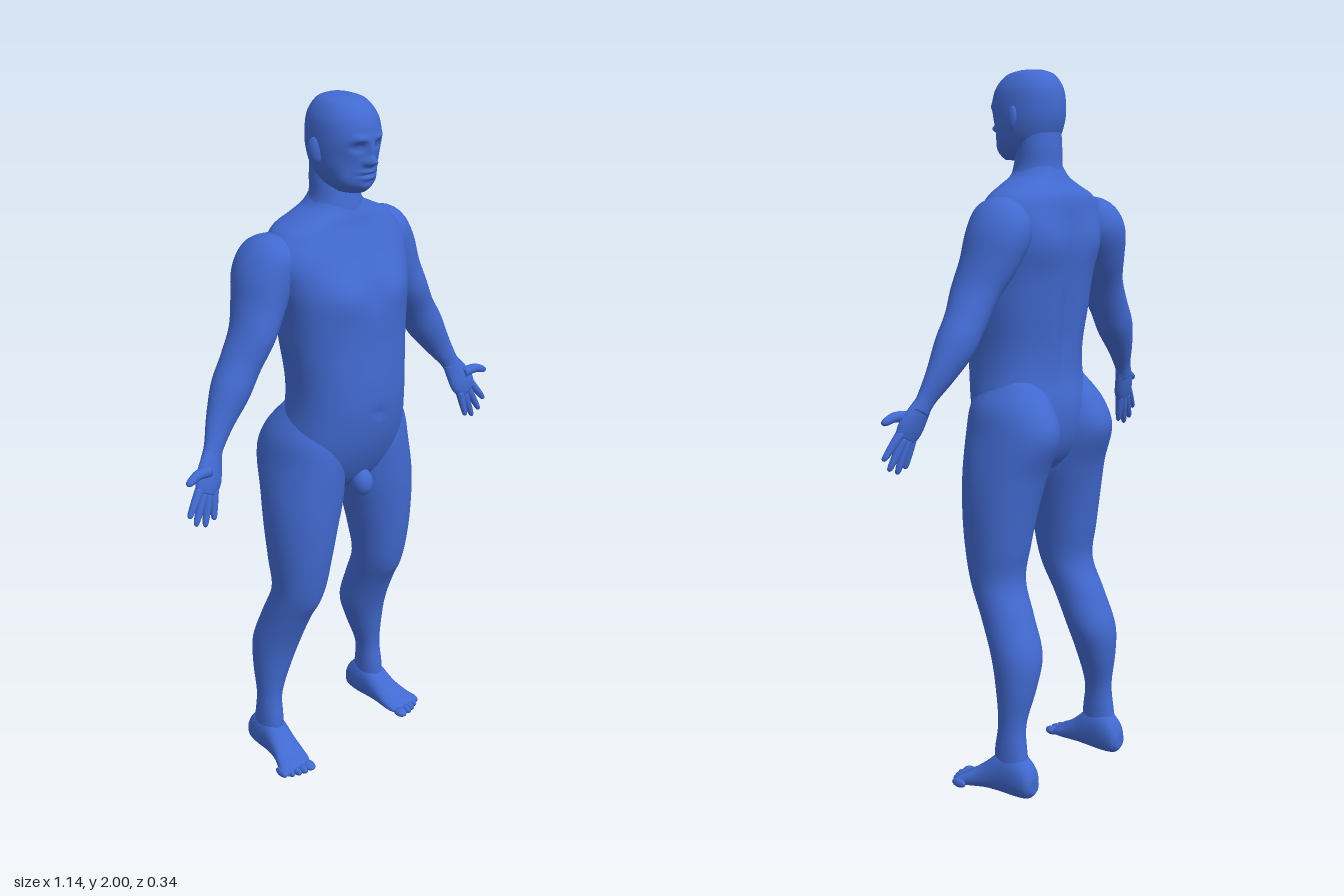
import * as THREE from 'three';

const skin = new THREE.MeshStandardMaterial({ color: 0x4169d0 });
skin.name = 'blue';

const spline = (a, b, c, d, t) =>
  0.5 * (2 * b + (c - a) * t + (2 * a - 5 * b + 4 * c - d) * t * t + (3 * b - a - 3 * c + d) * t * t * t);

// Smooth closed loft. Section: [x, y, zFront, zBack, halfWidth]; tilt turns the rings across the path.
// Bump: [x, y, side (1 front, -1 back), radiusX, radiusY, dz], mirrored in x.
function loft(sections, { tilt = false, steps = 6, sides = 32, power = 1, bumps = [] } = {}) {
  const rows = [], n = sections.length;
  for (let i = 0; i < n - 1; i++) {
    const [a, b, c, d] = [i - 1, i, i + 1, i + 2].map(k => sections[Math.min(n - 1, Math.max(0, k))]);
    for (let s = 0; s < steps; s++) rows.push(b.map((_, k) => spline(a[k], b[k], c[k], d[k], s / steps)));
  }
  rows.push(sections[n - 1]);
  const pos = [], index = [];
  const curve = v => Math.sign(v) * Math.abs(v) ** power;
  const ring = (i, scale) => {
    const [x, y, zf, zb, h] = rows[i];
    const p = rows[Math.max(0, i - 1)], q = rows[Math.min(rows.length - 1, i + 1)];
    let ux = 1, uy = 0;
    if (tilt) {
      const len = Math.hypot(q[0] - p[0], q[1] - p[1]);
      ux = -(q[1] - p[1]) / len;
      uy = (q[0] - p[0]) / len;
    }
    for (let j = 0; j < sides; j++) {
      const t = j / sides * Math.PI * 2;
      const w = curve(Math.cos(t)) * h * scale, s = curve(Math.sin(t));
      const vx = x + ux * w, vy = y + uy * w;
      let vz = (zf + zb) / 2 + s * (zf - zb) / 2 * scale;
      for (const [bx, by, side, rx, ry, dz] of bumps) {
        const fade = Math.min(1, Math.max(0, s * side * 2));
        vz += dz * fade * Math.exp(-(((Math.abs(vx) - bx) / rx) ** 2) - ((vy - by) / ry) ** 2);
      }
      pos.push(vx, vy, vz);
    }
  };
  // Rings, with the first and last drawn together to close the ends
  ring(0, 0.001);
  ring(0, 0.6);
  rows.forEach((_, i) => ring(i, 1));
  ring(rows.length - 1, 0.6);
  ring(rows.length - 1, 0.001);
  for (let i = 0; i < rows.length + 3; i++) {
    for (let j = 0; j < sides; j++) {
      const a = i * sides + j, b = i * sides + (j + 1) % sides;
      index.push(a, b, a + sides, b, b + sides, a + sides);
    }
  }
  const g = new THREE.BufferGeometry();
  g.setAttribute('position', new THREE.Float32BufferAttribute(pos, 3));
  g.setIndex(index);
  g.computeVertexNormals();
  return g;
}

export function createModel() {
  const body = new THREE.Group();
  body.name = 'humanFigure';
  const add = (name, geometry) => {
    const m = new THREE.Mesh(geometry, skin);
    m.name = name;
    body.add(m);
    return m;
  };
  const ball = (name, x, y, z, rx, ry, rz) => {
    const m = add(name, new THREE.SphereGeometry(1, 20, 14));
    m.position.set(x, y, z);
    m.scale.set(rx, ry, rz);
    return m;
  };
  const upright = list => list.map(r => [0, ...r]);

  // Head with brow, eye sockets, nose, mouth and chin
  add('head', loft(upright([
    [2.0, 0.04, -0.03, 0.028], [1.987, 0.08, -0.06, 0.058], [1.95, 0.113, -0.084, 0.081],
    [1.9, 0.124, -0.09, 0.088], [1.86, 0.117, -0.085, 0.087], [1.82, 0.115, -0.07, 0.08],
    [1.785, 0.11, -0.045, 0.064], [1.76, 0.09, -0.01, 0.036],
  ]), {
    steps: 10, sides: 72, power: 0.93, bumps: [
      [0.032, 1.905, 1, 0.022, 0.009, 0.007], [0.034, 1.884, 1, 0.017, 0.011, -0.013],
      [0.034, 1.884, 1, 0.009, 0.006, 0.006], [0, 1.87, 1, 0.009, 0.022, 0.016],
      [0, 1.846, 1, 0.013, 0.012, 0.027], [0.013, 1.842, 1, 0.007, 0.007, 0.008],
      [0, 1.818, 1, 0.022, 0.006, 0.008], [0, 1.81, 1, 0.024, 0.003, -0.007],
      [0, 1.802, 1, 0.02, 0.006, 0.007], [0, 1.775, 1, 0.02, 0.012, 0.007],
      [0.05, 1.83, 1, 0.018, 0.03, -0.006],
    ],
  }));
  add('neck', loft(upright([
    [1.85, 0.03, -0.075, 0.066], [1.79, 0.04, -0.08, 0.068], [1.74, 0.052, -0.083, 0.07],
    [1.7, 0.06, -0.095, 0.085], [1.66, 0.06, -0.1, 0.09],
  ])));

  // Trunk with chest, shoulder blades and spine furrow
  add('torso', loft(upright([
    [1.75, 0.04, -0.078, 0.06], [1.715, 0.055, -0.095, 0.085], [1.69, 0.065, -0.11, 0.135],
    [1.66, 0.075, -0.13, 0.19], [1.6, 0.105, -0.14, 0.222], [1.53, 0.138, -0.148, 0.212],
    [1.45, 0.157, -0.14, 0.196], [1.35, 0.16, -0.128, 0.186], [1.25, 0.167, -0.114, 0.176],
    [1.17, 0.166, -0.114, 0.177], [1.08, 0.15, -0.128, 0.19], [1.0, 0.122, -0.12, 0.19],
    [0.94, 0.09, -0.095, 0.14], [0.9, 0.05, -0.06, 0.06],
  ]), {
    sides: 64, power: 0.9, bumps: [
      [0.095, 1.5, 1, 0.06, 0.05, 0.012], [0, 1.5, 1, 0.014, 0.08, -0.007],
      [0, 1.16, 1, 0.01, 0.01, -0.01], [0.11, 1.54, -1, 0.05, 0.07, -0.012],
      [0, 1.38, -1, 0.028, 0.24, 0.016], [0.05, 1.24, -1, 0.03, 0.1, -0.006],
    ],
  }));
  ball('groin', 0, 0.925, 0.095, 0.03, 0.042, 0.036);

  for (const s of [1, -1]) {
    const side = s > 0 ? 'left' : 'right';
    const mirror = list => list.map(([x, ...r]) => [x * s, ...r]);

    const ear = ball(side + 'Ear', s * 0.088, 1.868, 0.008, 0.011, 0.034, 0.02);
    ear.rotation.set(-0.2, s * -0.35, 0);

    // Arm from shoulder to wrist
    add(side + 'Arm', loft(mirror([
      [0.165, 1.63, 0.02, -0.1, 0.042], [0.195, 1.6, 0.04, -0.138, 0.07], [0.222, 1.55, 0.042, -0.145, 0.076],
      [0.25, 1.48, 0.042, -0.125, 0.066], [0.285, 1.41, 0.045, -0.098, 0.056], [0.325, 1.34, 0.032, -0.086, 0.054],
      [0.365, 1.275, 0.03, -0.078, 0.054], [0.41, 1.205, 0.022, -0.05, 0.041],
      [0.447, 1.145, 0.024, -0.02, 0.029], [0.467, 1.11, 0.03, -0.01, 0.03],
    ]), { tilt: true }));

    // Hand with spread fingers
    add(side + 'Palm', loft(mirror([
      [0.449, 1.14, 0.024, -0.012, 0.027], [0.468, 1.105, 0.034, -0.004, 0.037],
      [0.485, 1.07, 0.044, 0.006, 0.043], [0.499, 1.042, 0.046, 0.017, 0.036],
    ]), { tilt: true, sides: 24 }));
    const fingers = [
      ['Index', 0.517, 1.06, 0.567, 0.995], ['Middle', 0.505, 1.045, 0.547, 0.965],
      ['Ring', 0.489, 1.04, 0.517, 0.952], ['Little', 0.472, 1.042, 0.487, 0.962],
      ['Thumb', 0.485, 1.1, 0.567, 1.09],
    ];
    for (const [name, x0, y0, x1, y1] of fingers) {
      const thumb = name === 'Thumb';
      const rows = [[0, 0.013], [0.5, 0.011], [0.9, 0.008], [1, 0.003]].map(([t, r]) => {
        const k = thumb ? r * 1.25 : r, z = 0.03 + 0.014 * t;
        return [x0 + (x1 - x0) * t, y0 + (y1 - y0) * t + (thumb ? 0.01 * Math.sin(t * Math.PI) : 0), z + k, z - k, k];
      });
      add(side + name + 'Finger', loft(mirror(rows), { tilt: true, steps: 4, sides: 12 }));
    }

    // Leg from hip to ankle, with buttock, knee and calf
    add(side + 'Leg', loft(mirror([
      [0.105, 1.16, 0.08, -0.085, 0.06], [0.117, 1.09, 0.11, -0.14, 0.092], [0.123, 1.01, 0.12, -0.165, 0.104],
      [0.135, 0.9, 0.117, -0.128, 0.111], [0.148, 0.8, 0.11, -0.106, 0.101], [0.156, 0.7, 0.1, -0.09, 0.087],
      [0.16, 0.6, 0.08, -0.077, 0.075], [0.169, 0.5, 0.034, -0.115, 0.072], [0.177, 0.4, -0.008, -0.15, 0.072],
      [0.191, 0.31, -0.031, -0.146, 0.056], [0.206, 0.21, -0.045, -0.128, 0.036],
      [0.21, 0.13, -0.035, -0.135, 0.035], [0.21, 0.05, -0.03, -0.15, 0.036],
    ]), {
      sides: 40, power: 0.95, bumps: [
        [0.16, 0.56, 1, 0.035, 0.04, 0.008], [0.125, 1.0, -1, 0.06, 0.06, -0.004],
      ],
    }));

    // Foot, lofted heel to toe: [x, -z, top, bottom, halfWidth]
    const foot = loft(mirror([
      [0.208, 0.166, 0.065, 0.02, 0.02], [0.208, 0.15, 0.1, 0.004, 0.034], [0.209, 0.11, 0.13, 0, 0.041],
      [0.211, 0.06, 0.125, 0.002, 0.042], [0.216, 0.01, 0.085, 0.004, 0.045], [0.224, -0.03, 0.056, 0.004, 0.052],
      [0.231, -0.058, 0.04, 0.006, 0.054], [0.232, -0.075, 0.03, 0.01, 0.045],
    ]), { power: 0.9 });
    foot.rotateX(-Math.PI / 2);
    add(side + 'Foot', foot);
    for (let i = 0; i < 5; i++) {
      const r = i ? 0.0115 - i * 0.0006 : 0.017;
      ball(side + 'Toe', s * (i ? 0.202 + i * 0.0195 : 0.196), 0.019, 0.079 - i * i * 0.0018, r, 0.013, 0.024);
    }
  }
  return body;
}
